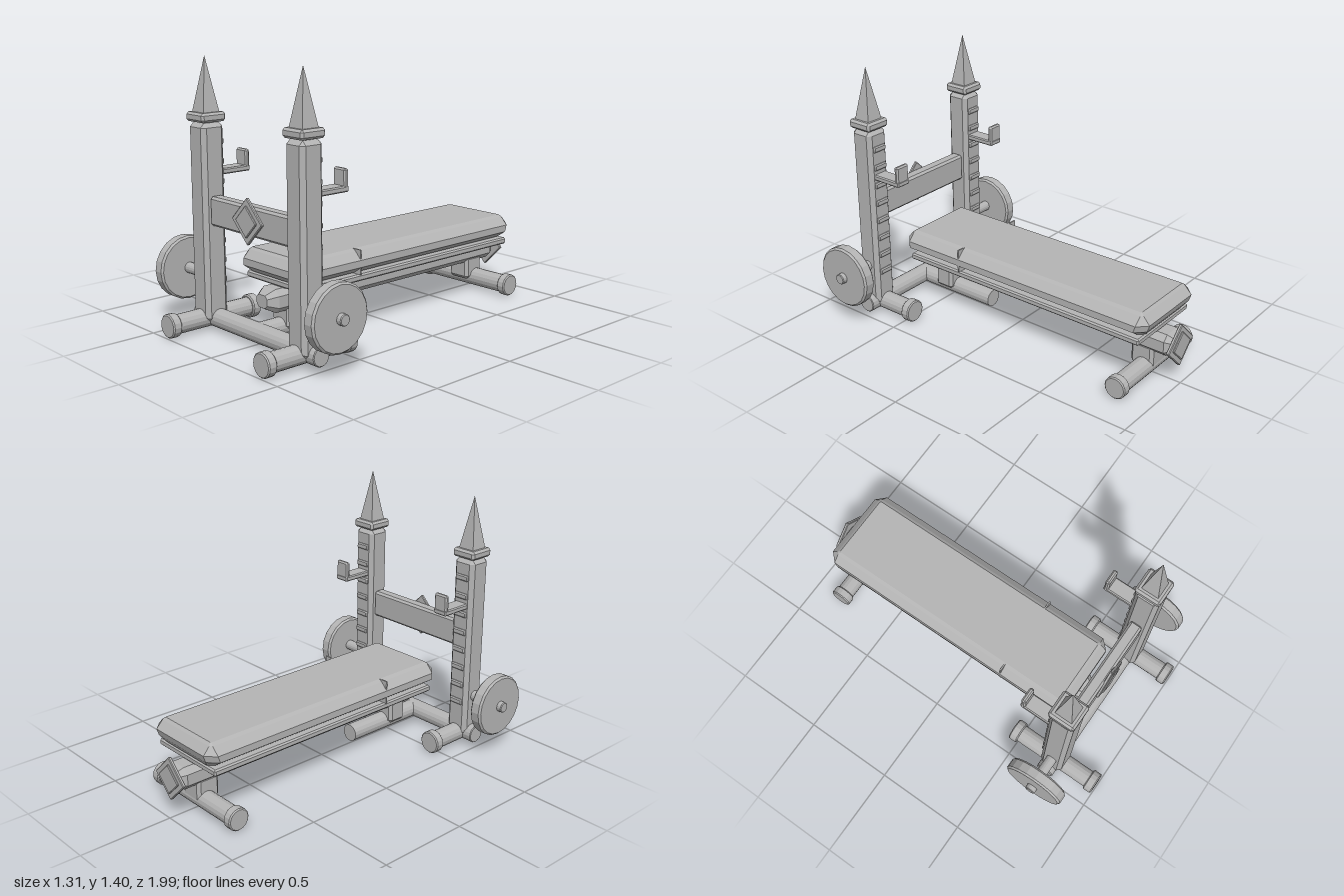
import * as THREE from 'three';
import { ConvexGeometry } from 'three/addons/geometries/ConvexGeometry.js';

const grey = new THREE.MeshStandardMaterial({ color: 0xb4b4b4, flatShading: true });
grey.name = 'plain grey';

export function createModel() {
  const model = new THREE.Group();
  model.name = 'weightBench';

  const add = (name, geometry, x, y, z) => {
    const mesh = new THREE.Mesh(geometry, grey);
    mesh.name = name;
    mesh.position.set(x, y, z);
    model.add(mesh);
    return mesh;
  };

  // Box with every edge chamfered by b
  const chamferBox = (w, h, d, b) => {
    const pts = [];
    for (const sx of [-1, 1]) for (const sy of [-1, 1]) for (const sz of [-1, 1]) {
      for (let k = 0; k < 3; k++) {
        const [ix, iy, iz] = [0, 1, 2].map((i) => (i === k ? 0 : b));
        pts.push(new THREE.Vector3(sx * (w / 2 - ix), sy * (h / 2 - iy), sz * (d / 2 - iz)));
      }
    }
    return new ConvexGeometry(pts);
  };

  // Cylinder with bevelled rims, along x or z
  const rod = (axis, radius, length, bevel = 0, sides = 16) => {
    const h = length / 2;
    const profile = bevel
      ? [[0, -h], [radius - bevel, -h], [radius, -h + bevel], [radius, h - bevel], [radius - bevel, h], [0, h]]
      : [[0, -h], [radius, -h], [radius, h], [0, h]];
    const g = new THREE.LatheGeometry(profile.map(([r, y]) => new THREE.Vector2(r, y)), sides);
    return axis === 'x' ? g.rotateZ(Math.PI / 2) : g.rotateX(Math.PI / 2);
  };

  // Solid stacked from corner-cut rectangles: [y, halfX, zFront, zBack, cut]
  const layered = (layers) => {
    const pts = [];
    for (const [y, hx, z1, z0, c] of layers) {
      for (const s of [-1, 1]) {
        pts.push(
          new THREE.Vector3(s * hx, y, z1 - c), new THREE.Vector3(s * (hx - c), y, z1),
          new THREE.Vector3(s * hx, y, z0 + c), new THREE.Vector3(s * (hx - c), y, z0));
      }
    }
    return new ConvexGeometry(pts);
  };

  // Two-step diamond plaque; dir is the way it faces
  const diamond = (name, y, z, dir) => {
    add(name + 'Plate', chamferBox(0.167, 0.167, 0.018, 0.004), 0, y, z).rotation.z = Math.PI / 4;
    add(name + 'Centre', chamferBox(0.115, 0.115, 0.018, 0.004), 0, y, z + dir * 0.008).rotation.z = Math.PI / 4;
  };

  const postX = 0.377, postZ = 0.727;
  for (const [side, s] of [['left', 1], ['right', -1]]) {
    const x = s * postX;
    // Upright with cap and spike
    add(side + 'Post', chamferBox(0.132, 1.02, 0.132, 0.022), x, 0.56, postZ);
    add(side + 'PostCap', chamferBox(0.146, 0.048, 0.146, 0.012), x, 1.098, postZ);
    const spike = new THREE.ConeGeometry(0.048 * Math.SQRT2, 0.28, 4).rotateY(Math.PI / 4);
    add(side + 'Spike', spike, x, 1.26, postZ);

    // Height stops on the back of the upright
    for (let i = 0; i < 8; i++) {
      add(side + 'HeightStop', chamferBox(0.085, 0.032, 0.03, 0.006), x, 0.97 - i * 0.102, 0.665);
    }

    // Bar hook
    add(side + 'HookArm', chamferBox(0.085, 0.03, 0.18, 0.006), x, 0.815, 0.58);
    add(side + 'HookLip', chamferBox(0.085, 0.11, 0.026, 0.008), x, 0.857, 0.505);

    // Foot tube with end caps
    add(side + 'Foot', rod('z', 0.05, 0.53), x, 0.065, 0.723);
    add(side + 'FootFrontCap', rod('z', 0.062, 0.05, 0.006), x, 0.065, 0.969);
    add(side + 'FootBackCap', rod('z', 0.062, 0.05, 0.006), x, 0.065, 0.475);

    // Weight plate on its peg
    add(side + 'WeightPeg', rod('x', 0.029, 0.25, 0.004), s * 0.53, 0.285, 0.73);
    add(side + 'WeightPlate', rod('x', 0.169, 0.068, 0.01, 20), s * 0.593, 0.285, 0.73);

    // Rear foot cap
    add(side + 'RearFootCap', rod('x', 0.06, 0.05, 0.006), s * 0.3, 0.065, -0.82);
  }

  // Rack cross members
  add('baseBar', rod('x', 0.05, 0.96, 0.004), 0, 0.065, 0.72);
  add('crossPlate', chamferBox(0.63, 0.15, 0.07, 0.012), 0, 0.63, postZ);
  diamond('frontDiamond', 0.63, 0.765, 1);

  // Bench frame
  add('centreTube', rod('z', 0.048, 0.51), 0, 0.065, 0.465);
  add('frontStrut', chamferBox(0.134, 0.13, 0.115, 0.016), 0, 0.125, 0.52);
  add('rearFoot', rod('x', 0.05, 0.6), 0, 0.065, -0.82);
  add('rearStrut', chamferBox(0.134, 0.13, 0.13, 0.016), 0, 0.125, -0.805);

  // Eight-sided beam with tapered ends
  const beamPts = [];
  for (const [z, k] of [[0.69, 0.55], [0.64, 1], [-0.935, 1], [-0.975, 0.6]]) {
    for (const sx of [-1, 1]) for (const sy of [-1, 1]) {
      beamPts.push(new THREE.Vector3(sx * 0.075 * k, sy * 0.03 * k, z), new THREE.Vector3(sx * 0.045 * k, sy * 0.06 * k, z));
    }
  }
  add('beam', new ConvexGeometry(beamPts), 0, 0.217, 0);
  diamond('rearDiamond', 0.217, -0.982, -1);

  // Board, cushion and the seam across the cushion
  add('padBoard', chamferBox(0.462, 0.036, 1.49, 0.008), 0, 0.297, -0.14);
  add('pad', layered([
    [0.32, 0.195, 0.61, -0.885, 0.03],
    [0.355, 0.245, 0.65, -0.91, 0.05],
    [0.392, 0.245, 0.65, -0.922, 0.05],
    [0.432, 0.205, 0.615, -0.885, 0.012],
    [0.444, 0.188, 0.6, -0.87, 0.006],
  ]), 0, 0, 0);
  add('padSeam', new THREE.BoxGeometry(0.48, 0.128, 0.008), 0, 0.38, 0.25);

  return model;
}
